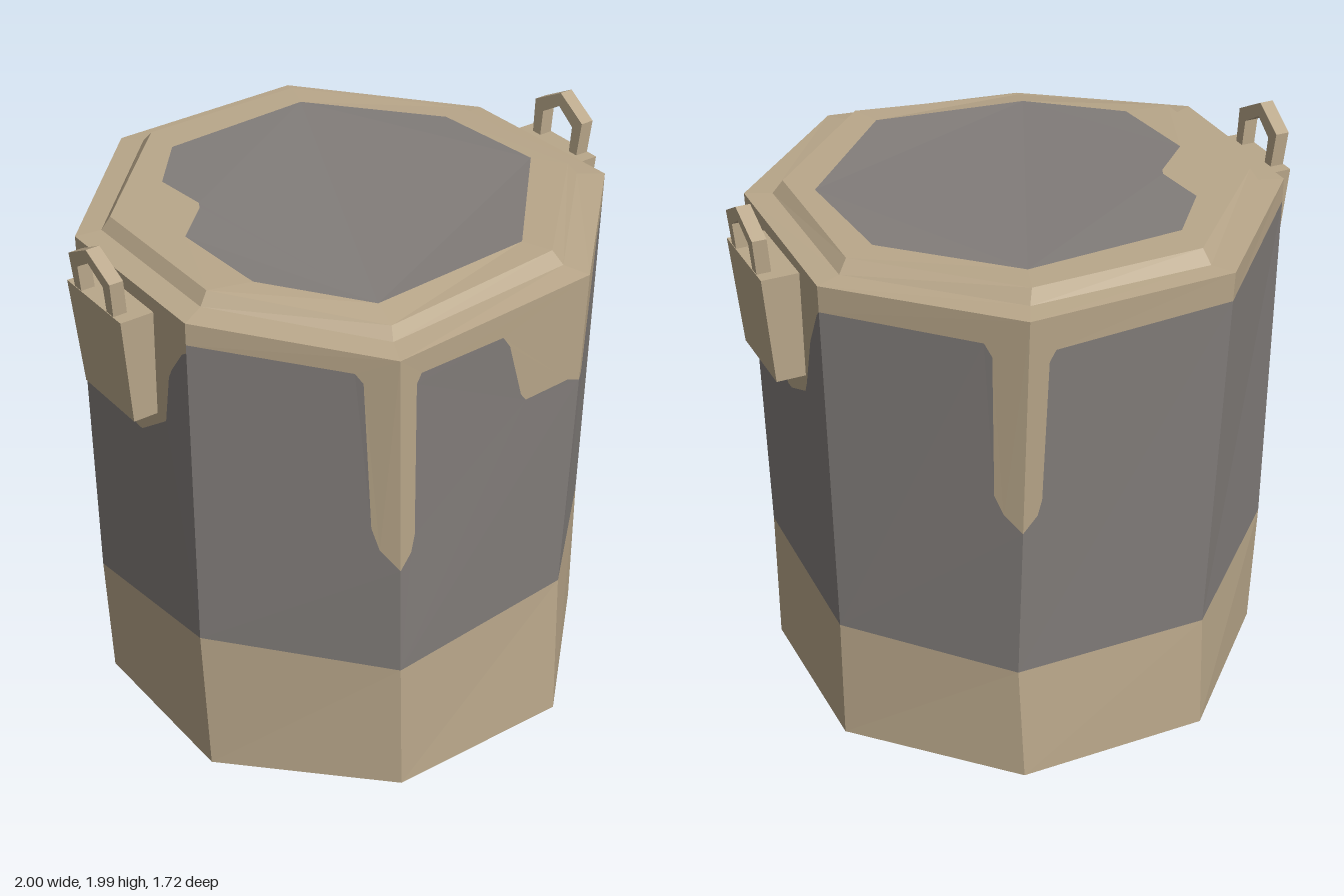
import * as THREE from 'three';

const tan = new THREE.MeshStandardMaterial({ color: 0xb9a78a });
tan.name = 'tan';
const grey = new THREE.MeshStandardMaterial({ color: 0x827d7a });
grey.name = 'grey';

// Eight-cornered rings, counter-clockwise from above, starting at the front right corner
const V = (x, y, z) => new THREE.Vector3(x, y, z);
const ring = (...pts) => pts.map((p) => V(...p));
const foot = ring([-0.345, 0, 0.83], [0.35, 0, 0.83], [0.83, 0, 0.35], [0.83, 0, -0.32],
  [0.35, 0, -0.81], [-0.35, 0, -0.81], [-0.83, 0, -0.32], [-0.83, 0, 0.35]);
const waist = ring([-0.35, 0.51, 0.82], [0.36, 0.565, 0.8], [0.83, 0.515, 0.35], [0.83, 0.475, -0.32],
  [0.36, 0.435, -0.78], [-0.35, 0.44, -0.79], [-0.85, 0.48, -0.32], [-0.855, 0.58, 0.35]);
const rim = ring([-0.4, 1.79, 0.855], [0.36, 1.84, 0.855], [0.855, 1.845, 0.36], [0.855, 1.825, -0.335],
  [0.36, 1.845, -0.865], [-0.37, 1.845, -0.85], [-0.865, 1.845, -0.32], [-0.865, 1.845, 0.36]);
const lidBase = ring([-0.36, 1.8, 0.765], [0.32, 1.85, 0.77], [0.77, 1.85, 0.31], [0.77, 1.835, -0.31],
  [0.32, 1.85, -0.78], [-0.32, 1.85, -0.78], [-0.775, 1.85, -0.3], [-0.775, 1.85, 0.31]);
const lidEdge = ring([-0.345, 1.84, 0.735], [0.3, 1.895, 0.735], [0.735, 1.895, 0.3], [0.735, 1.876, -0.285],
  [0.3, 1.895, -0.75], [-0.31, 1.895, -0.74], [-0.745, 1.895, -0.29], [-0.745, 1.895, 0.3]);
const lidPatch = ring([-0.32, 1.86, 0.63], [0.26, 1.893, 0.63], [0.66, 1.893, 0.19], [0.63, 1.883, -0.25],
  [0.26, 1.895, -0.635], [-0.31, 1.895, -0.6], [-0.475, 1.895, -0.4], [-0.455, 1.895, -0.2],
  [-0.47, 1.895, -0.17], [-0.615, 1.895, -0.03], [-0.59, 1.888, 0.33]);

// Lower edge of the tan drips on each wall: [position across the wall, height]
const sideDrip = [[0, 1.735], [0.04, 1.715], [0.14, 1.62], [0.17, 1.58], [0.22, 1.39], [0.46, 1.265],
  [0.51, 1.265], [0.72, 1.33], [0.75, 1.37], [0.85, 1.57], [0.97, 1.71], [1, 1.73]];
const drips = [
  [[0, 0.95], [0.06, 1.01], [0.08, 1.08], [0.085, 1.68], [0.11, 1.715], [0.54, 1.725], [0.58, 1.68],
    [0.66, 1.47], [0.69, 1.44], [0.93, 1.45], [1, 1.43]],
  [[0, 1.43], [0.18, 1.38], [0.22, 1.39], [0.56, 1.69], [0.62, 1.73], [1, 1.735]],
  sideDrip,
  [[0, 1.73], [0.79, 1.735], [0.83, 1.69], [0.85, 1.16], [0.9, 1.09], [1, 1.03]],
  [[0, 1.03], [0.07, 1.09], [0.09, 1.15], [0.1, 1.68], [0.13, 1.72], [1, 1.74]],
  [[0, 1.74], [1, 1.76]],
  sideDrip.map(([u, y]) => [1 - u, y + 0.03 * u]).reverse(),
  [[0, 1.765], [0.79, 1.725], [0.83, 1.69], [0.86, 1.12], [0.9, 1.03], [1, 0.95]],
];

// Triangulates a flat outline (with holes) and lifts its points into space
function fill(out, flat, points, holes = []) {
  const all = [flat, ...holes].flat();
  for (const [a, b, c] of THREE.ShapeUtils.triangulateShape(flat, holes)) {
    const turn = THREE.ShapeUtils.area([all[a], all[b], all[c]]);
    out.push(points[a], ...(turn > 0 ? [points[b], points[c]] : [points[c], points[b]]));
  }
}

// Joins two rings with quads
function band(out, low, high) {
  low.forEach((a, i) => {
    const j = (i + 1) % low.length;
    out.push(a, low[j], high[j], a, high[j], high[i]);
  });
}

function addMesh(group, name, triangles, material) {
  const geometry = new THREE.BufferGeometry().setFromPoints(triangles);
  geometry.computeVertexNormals();
  const mesh = new THREE.Mesh(geometry, material);
  mesh.name = name;
  group.add(mesh);
}

// Extrudes a (z, y) outline along x, leaning it by a rule
function slab(name, shape, depth, place) {
  const geometry = new THREE.ExtrudeGeometry(shape, { depth, bevelEnabled: false });
  geometry.rotateY(Math.PI / 2);
  const pos = geometry.attributes.position;
  for (let i = 0; i < pos.count; i++) pos.setX(i, place(pos.getX(i), pos.getY(i)));
  geometry.computeVertexNormals();
  const mesh = new THREE.Mesh(geometry, tan);
  mesh.name = name;
  return mesh;
}

const outline = (pts) => pts.map(([x, y]) => new THREE.Vector2(x, y));

function makeHandle(name) {
  const handle = new THREE.Group();
  handle.name = name;
  // Mounting block, wider and deeper at the top
  const block = new THREE.Shape(outline([[-0.155, 1.4], [0.155, 1.4], [0.168, 1.792], [-0.168, 1.792]]));
  handle.add(slab('handleBlock', block, 1, (x, y) => (x > 0.5 ? 0.95 + (y - 1.4) * 0.09 : 0.8)));
  // Pointed loop
  const loop = new THREE.Shape(outline([[-0.12, 1.78], [-0.08, 1.78], [-0.08, 1.885], [0, 1.935],
    [0.08, 1.885], [0.08, 1.78], [0.12, 1.78], [0.128, 1.915], [0, 1.985], [-0.128, 1.915]]));
  handle.add(slab('handleLoop', loop, 0.05, (x, y) => x + 0.932 + (y - 1.78) * 0.088));
  return handle;
}

export function createModel() {
  const model = new THREE.Group();
  model.name = 'bucket';

  // Base band and underside
  const base = [];
  band(base, foot, waist);
  for (let i = 1; i < 7; i++) base.push(foot[0], foot[i + 1], foot[i]);
  addMesh(model, 'base', base, tan);

  // Walls: grey below the drip line, tan above it
  const wall = [], drip = [];
  drips.forEach((line, i) => {
    const j = (i + 1) % 8;
    const edge = (k, y) => waist[k].clone().lerp(rim[k], (y - waist[k].y) / (rim[k].y - waist[k].y));
    const lift = (p) => edge(i, p.y).lerp(edge(j, p.y), p.x);
    const lower = outline([[0, waist[i].y], [1, waist[j].y], ...line.slice().reverse()]);
    const upper = outline([...line, [1, rim[j].y], [0, rim[i].y]]);
    fill(wall, lower, lower.map(lift));
    fill(drip, upper, upper.map(lift));
  });
  addMesh(model, 'walls', wall, grey);
  addMesh(model, 'drips', drip, tan);

  // Rim, bevelled lid edge and lid border around the grey patch
  const lid = [], patch = [];
  band(lid, rim, lidBase);
  band(lid, lidBase, lidEdge);
  const plan = (pts) => pts.map((p) => new THREE.Vector2(p.x, -p.z));
  fill(lid, plan(lidEdge), [...lidEdge, ...lidPatch], [plan(lidPatch)]);
  fill(patch, plan(lidPatch), lidPatch);
  addMesh(model, 'rimAndLid', lid, tan);
  addMesh(model, 'lidPatch', patch, grey);

  // Handles on both sides
  const left = makeHandle('leftHandle');
  const right = makeHandle('rightHandle');
  right.rotation.y = Math.PI;
  model.add(left, right);
  return model;
}
